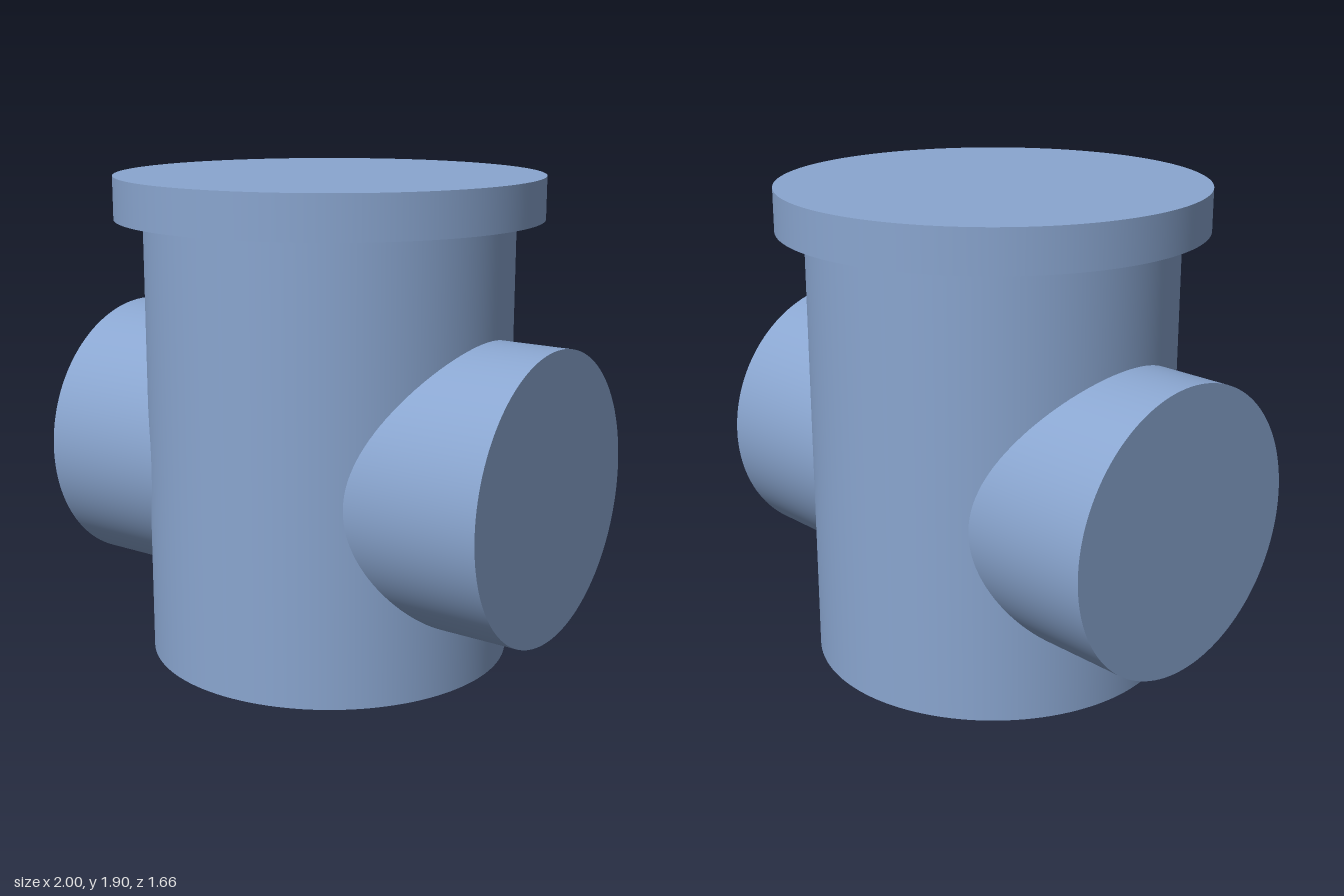
import * as THREE from 'three';

const BODY_R = 0.72, BODY_H = 1.735;
const LID_R = 0.83, LID_H = 0.165;
const PIPE_R = 0.555, PIPE_Y = 0.765, PIPE_END = 1;

export function createModel() {
  const model = new THREE.Group();
  model.name = 'inspectionChamber';

  const blue = new THREE.MeshStandardMaterial({ color: 0x8aa6d0 });
  blue.name = 'steel blue';

  const add = (name, geometry, parent = model) => {
    const mesh = new THREE.Mesh(geometry, blue);
    mesh.name = name;
    parent.add(mesh);
    return mesh;
  };

  // Upright body and the wider lid on top
  add('body', new THREE.CylinderGeometry(BODY_R, BODY_R, BODY_H, 128)).position.y = BODY_H / 2;
  add('lid', new THREE.CylinderGeometry(LID_R, LID_R, LID_H, 128)).position.y = BODY_H + LID_H / 2;

  // Side pipe wall along +x, its inner rim shaped to the curve of the body
  const wall = new THREE.CylinderGeometry(PIPE_R, PIPE_R, PIPE_END, 128, 1, true);
  wall.rotateZ(-Math.PI / 2).translate(PIPE_END / 2, 0, 0);
  const p = wall.attributes.position;
  for (let i = 0; i < p.count; i++) {
    if (p.getX(i) < PIPE_END / 2) {
      p.setX(i, Math.sqrt(BODY_R ** 2 - p.getZ(i) ** 2) - 0.004);
    }
  }
  const endDisc = new THREE.CircleGeometry(PIPE_R, 128);
  endDisc.rotateY(Math.PI / 2).translate(PIPE_END, 0, 0);

  // One pipe on each side
  for (const [name, angle] of [['leftPipe', 0], ['rightPipe', Math.PI]]) {
    const pipe = new THREE.Group();
    pipe.name = name;
    pipe.position.y = PIPE_Y;
    pipe.rotation.y = angle;
    add(name + 'Wall', wall, pipe);
    add(name + 'End', endDisc, pipe);
    model.add(pipe);
  }

  return model;
}
